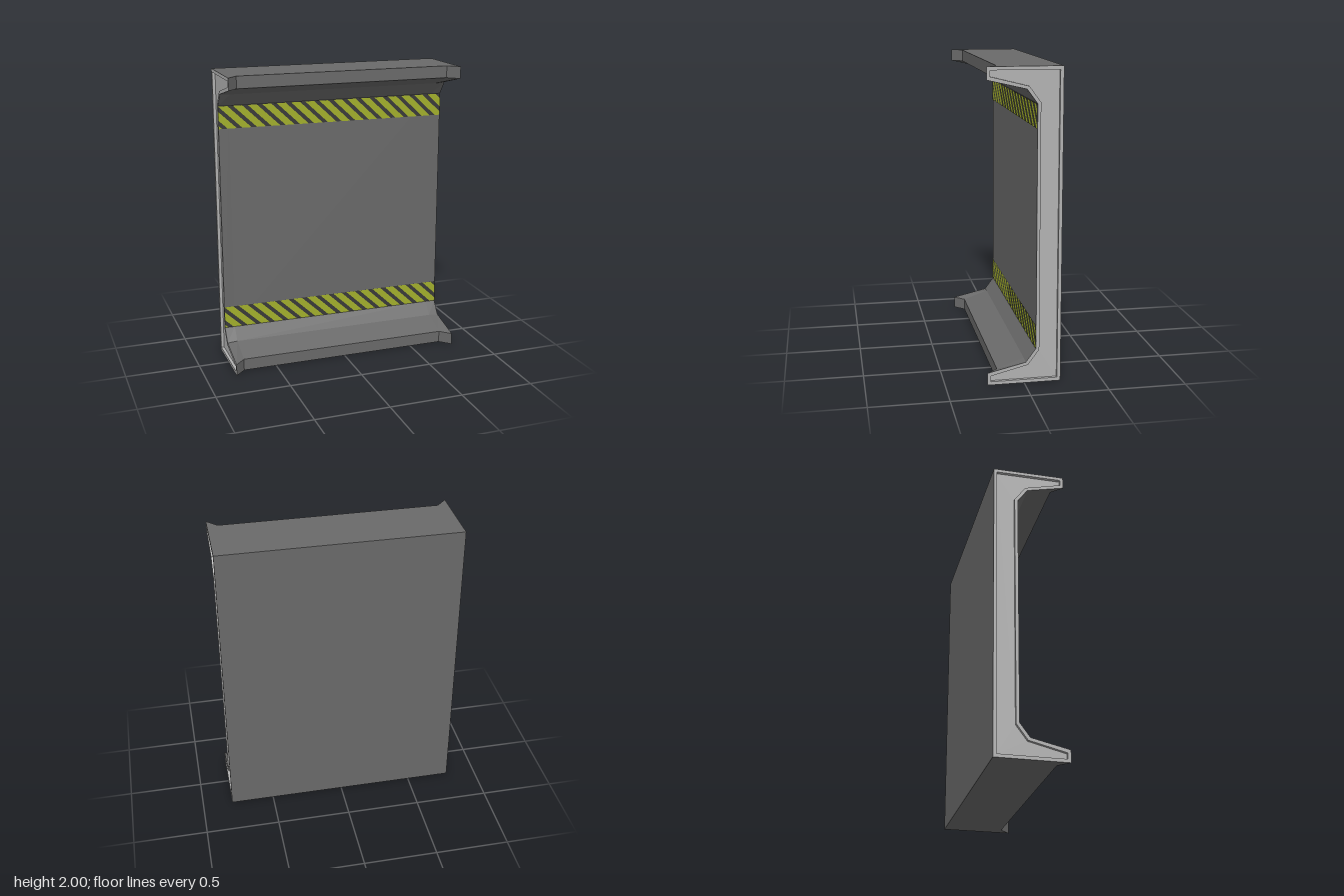
import * as THREE from 'three';

const HALF = 0.795;   // half width
const RECESS = 0.02;  // depth of the end recesses

// Closed C-shaped cross-section as [z, y] points, mirrored about mid height
function profile(back, base, lipZ, lipY, kneeZ, kneeY, wallZ, wallY) {
  const low = [[back, base], [lipZ, base], [lipZ, lipY], [kneeZ, kneeY], [wallZ, wallY]];
  return [...low, ...low.map(([z, y]) => [z, 2 - y]).reverse()];
}

const outerEnd = profile(-0.235, 0, 0.235, 0.08, -0.01, 0.137, -0.075, 0.225);
const outerMid = profile(-0.235, 0, 0.165, 0.08, -0.01, 0.142, -0.075, 0.225);
const inset = profile(-0.213, 0.022, 0.214, 0.06, -0.024, 0.119, -0.096, 0.217);

// Flat-shaded skin between successive cross-sections [x, profile]
function loft(sections) {
  const pos = [];
  for (let s = 0; s < sections.length - 1; s++) {
    const [x0, p0] = sections[s], [x1, p1] = sections[s + 1];
    for (let i = 0; i < p0.length; i++) {
      const j = (i + 1) % p0.length;
      const a = [x0, p0[i][1], p0[i][0]], b = [x0, p0[j][1], p0[j][0]];
      const c = [x1, p1[j][1], p1[j][0]], d = [x1, p1[i][1], p1[i][0]];
      pos.push(...a, ...c, ...b, ...a, ...d, ...c);
    }
  }
  const geo = new THREE.BufferGeometry();
  geo.setAttribute('position', new THREE.Float32BufferAttribute(pos, 3));
  geo.computeVertexNormals();
  return geo;
}

const toPoints = (p) => p.map(([u, v]) => new THREE.Vector2(u, v));

// Keep the part of a polygon where side * x <= limit
function clipX(poly, side, limit) {
  const out = [];
  poly.forEach((p, i) => {
    const q = poly[(i + 1) % poly.length];
    const dp = side * p[0] - limit, dq = side * q[0] - limit;
    if (dp <= 0) out.push(p);
    if (dp * dq < 0) {
      const t = dp / (dp - dq);
      out.push([p[0] + t * (q[0] - p[0]), p[1] + t * (q[1] - p[1])]);
    }
  });
  return out;
}

function material(name, color, side = THREE.FrontSide) {
  const m = new THREE.MeshStandardMaterial({ color, side });
  m.name = name;
  return m;
}

export function createModel() {
  const group = new THREE.Group();
  group.name = 'wallPanel';
  const darkGrey = material('dark grey', 0x6a6a6a);
  const lightGrey = material('light grey', 0xb2b2b2, THREE.DoubleSide);
  const charcoal = material('charcoal', 0x3a3a3a);
  const yellow = material('hazard yellow', 0xa3b02c);

  const add = (parent, name, geo, mat) => {
    const mesh = new THREE.Mesh(geo, mat);
    mesh.name = name;
    parent.add(mesh);
    return mesh;
  };

  // Body with lips that flare forward at both ends
  add(group, 'body', loft([
    [-HALF, outerEnd], [-0.726, outerMid], [0.726, outerMid], [HALF, outerEnd],
  ]), darkGrey);

  // End caps: rim, recess walls and recess floor
  for (const side of [-1, 1]) {
    const end = new THREE.Group();
    end.name = side > 0 ? 'leftEnd' : 'rightEnd';
    end.scale.x = -side;
    const rim = new THREE.Shape(toPoints(outerEnd));
    rim.holes.push(new THREE.Path(toPoints(inset)));
    add(end, 'endRim', new THREE.ShapeGeometry(rim).rotateY(-Math.PI / 2), lightGrey)
      .position.x = -HALF;
    add(end, 'recessWalls', loft([[-HALF, inset], [-HALF + RECESS, inset]]), lightGrey);
    add(end, 'recessFloor',
      new THREE.ShapeGeometry(new THREE.Shape(toPoints(inset))).rotateY(-Math.PI / 2), lightGrey)
      .position.x = -HALF + RECESS;
    group.add(end);
  }

  // Hazard bands: dark plate with slanted yellow stripes
  const h = 0.15, slant = 0.16, pitch = 2 * HALF / 16, width = 0.062;
  const stripes = [];
  for (let x = -HALF - 2 * pitch; x < HALF; x += pitch) {
    let poly = [[x + slant, -h / 2], [x + slant + width, -h / 2], [x + width, h / 2], [x, h / 2]];
    poly = clipX(clipX(poly, 1, HALF), -1, HALF);
    if (poly.length > 2) stripes.push(new THREE.Shape(toPoints(poly)));
  }
  for (const y of [0.302, 1.698]) {
    const band = new THREE.Group();
    band.name = y < 1 ? 'lowerHazardBand' : 'upperHazardBand';
    add(band, 'bandPlate', new THREE.PlaneGeometry(2 * HALF, h), charcoal).position.z = 0.002;
    add(band, 'bandStripes', new THREE.ShapeGeometry(stripes), yellow).position.z = 0.004;
    band.position.set(0, y, -0.075);
    group.add(band);
  }
  return group;
}
